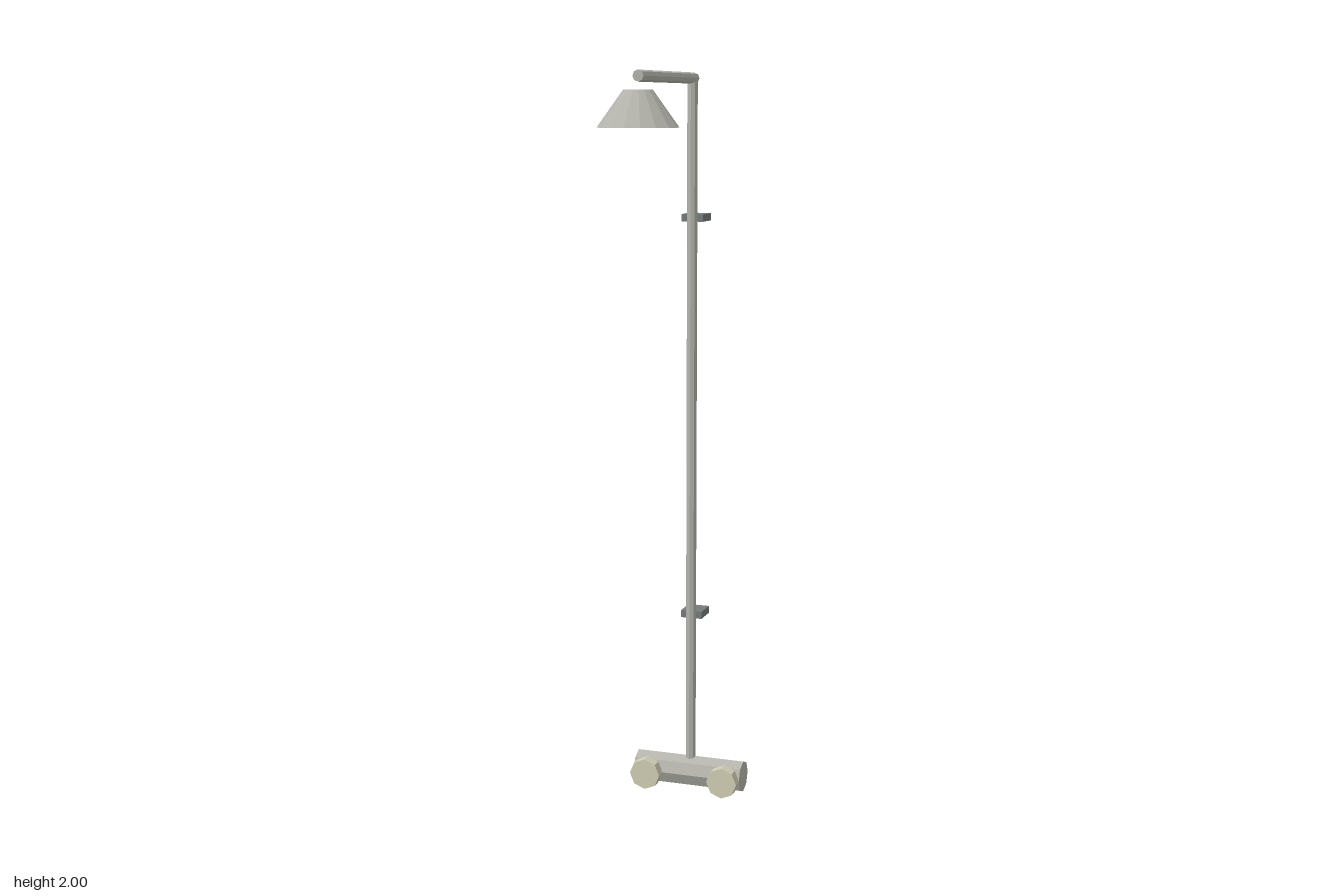
import * as THREE from 'three';

const pipeMat = new THREE.MeshStandardMaterial({ color: 0xb4b4ac, flatShading: true });
const knobMat = new THREE.MeshStandardMaterial({ color: 0xd0ccb4, flatShading: true });
const bracketMat = new THREE.MeshStandardMaterial({ color: 0x747a7a, flatShading: true });

const POLE_Z = -0.233;
const PIPE_R = 0.0147;

export function createModel() {
  const group = new THREE.Group();

  const add = (name, geometry, material, x, y, z) => {
    const mesh = new THREE.Mesh(geometry, material);
    mesh.name = name;
    mesh.position.set(x, y, z);
    group.add(mesh);
    return mesh;
  };
  const cylinder = (r, length, sides = 8) => new THREE.CylinderGeometry(r, r, length, sides);

  // Valve body lying across the bottom
  add('valveBody', cylinder(0.0445, 0.314).rotateZ(Math.PI / 2), pipeMat, 0, 0.0445, POLE_Z);

  // Two tap knobs on the front of the valve
  for (const side of [-1, 1]) {
    add(side < 0 ? 'rightKnob' : 'leftKnob',
      cylinder(0.044, 0.03).rotateX(Math.PI / 2), knobMat, side * 0.114, 0.0442, -0.174);
  }

  // Riser pipe and the overhead arm
  const armY = 2 - PIPE_R;
  const riserBase = 0.05;
  add('riserPipe', cylinder(PIPE_R, armY - riserBase), pipeMat, 0, (armY + riserBase) / 2, POLE_Z);
  const armBack = POLE_Z - PIPE_R;
  const armFront = 0.196;
  add('overheadArm', cylinder(PIPE_R, armFront - armBack).rotateX(Math.PI / 2), pipeMat,
    0, armY, (armFront + armBack) / 2);

  // Wall brackets behind the riser
  for (const [name, y] of [['lowerBracket', 0.505], ['upperBracket', 1.615]]) {
    add(name, new THREE.BoxGeometry(0.061, 0.02, 0.069), bracketMat, 0, y, -0.2685);
  }

  // Conical shower head just under the end of the arm
  add('showerHead', new THREE.CylinderGeometry(0.0365, 0.1025, 0.092, 16), pipeMat, 0, 1.906, 0.196);

  return group;
}
